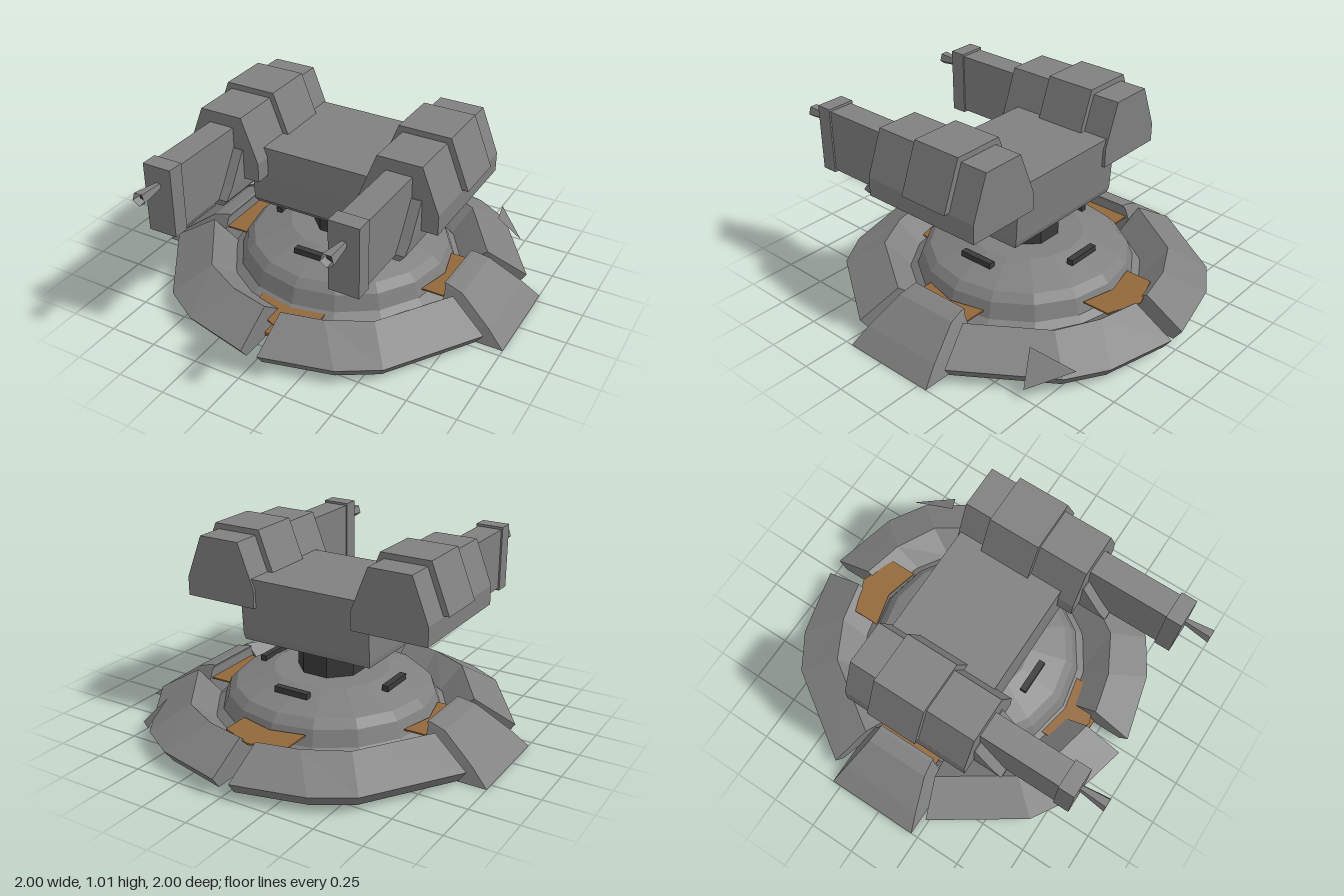
import * as THREE from 'three';

const mat = (name, color, side = THREE.FrontSide) => {
  const m = new THREE.MeshStandardMaterial({ color, side, flatShading: true });
  m.name = name;
  return m;
};

export function createModel() {
  const grey = mat('hull grey', 0x808080, THREE.DoubleSide);
  const dark = mat('dark metal', 0x3a3a3a);
  const orange = mat('orange panel', 0x92683a);
  const model = new THREE.Group();
  model.name = 'twinGunTurret';

  const add = (parent, name, geo, material, x = 0, y = 0, z = 0, ry = 0) => {
    const m = new THREE.Mesh(geo, material);
    m.name = name;
    m.position.set(x, y, z);
    m.rotation.y = ry;
    parent.add(m);
    return m;
  };
  const box = (x, y, z) => new THREE.BoxGeometry(x, y, z);
  const group = (parent, name, x = 0, y = 0, z = 0) => {
    const g = new THREE.Group();
    g.name = name;
    g.position.set(x, y, z);
    parent.add(g);
    return g;
  };

  // Skins closed cross-sections and caps both ends
  const loft = (sections) => {
    const n = sections[0].length, last = sections.length - 1, out = [];
    const tri = (...pts) => pts.forEach((p) => out.push(...p));
    for (let i = 0; i < last; i++) {
      for (let j = 0; j < n; j++) {
        const k = (j + 1) % n, s = sections[i], t = sections[i + 1];
        tri(s[j], t[j], s[k]);
        tri(t[j], t[k], s[k]);
      }
    }
    for (let j = 1; j < n - 1; j++) {
      tri(sections[0][0], sections[0][j], sections[0][j + 1]);
      tri(sections[last][0], sections[last][j + 1], sections[last][j]);
    }
    const g = new THREE.BufferGeometry();
    g.setAttribute('position', new THREE.Float32BufferAttribute(out, 3));
    g.computeVertexNormals();
    return g;
  };
  // Horizontal rectangle used as a section at height y
  const rect = (y, x0, x1, z0, z1) => [[x0, y, z0], [x1, y, z0], [x1, y, z1], [x0, y, z1]];
  const extrude = (pts, depth) => {
    const g = new THREE.ExtrudeGeometry(
      new THREE.Shape(pts.map((p) => new THREE.Vector2(...p))), { depth, bevelEnabled: false });
    return g.translate(0, 0, -depth / 2);
  };

  // Base: dome, four ring segments, side feet
  const base = group(model, 'base', 0, 0, -0.045);
  const dome = [[0, 0.02], [0.66, 0.02], [0.64, 0.07], [0.57, 0.12], [0.54, 0.2], [0.5, 0.24], [0.3, 0.31], [0, 0.31]];
  add(base, 'dome', new THREE.LatheGeometry(dome.map((p) => new THREE.Vector2(...p)), 16), grey);

  // Each station: outer rim, ridge and inner foot as x, z pairs
  const stations = [
    [[0.045, 0.955], [0.045, 0.74], [0.045, 0.6]],
    [[0.41, 0.865], [0.26, 0.69], [0.25, 0.55]],
    [[0.605, 0.745], [0.47, 0.58], [0.41, 0.45]],
    [[0.91, 0.29], [0.71, 0.22], [0.58, 0.19]],
  ];
  const section = (s, sz) => {
    const [o, r, f] = s.map(([x, z]) => [x, z * sz]);
    return [[o[0] * 0.955, 0.02, o[1] * 0.955], [o[0], 0.08, o[1]], [r[0], 0.2, r[1]],
      [f[0], 0.09, f[1]], [f[0], 0.02, f[1]]];
  };
  const frontArc = loft(stations.map((s) => section(s, 1)));
  const backArc = loft([...stations].reverse().map((s) => section(s, -1)));
  const foot = loft([
    rect(0, 0.65, 1.0, -0.255, 0.255),
    rect(0.08, 0.65, 0.91, -0.225, 0.225),
    rect(0.2, 0.65, 0.74, -0.175, 0.175),
    rect(0.22, 0.64, 0.66, -0.165, 0.165),
  ]);
  for (const turn of [0, Math.PI]) {
    add(base, 'ringSegment', frontArc, grey, 0, 0, 0, turn);
    add(base, 'ringSegment', backArc, grey, 0, 0, 0, turn);
    add(base, 'sideFoot', foot, grey, 0, 0, 0, turn);
  }

  // Orange panels between dome and ring, and in the front notch
  const chevron = [[-0.18, 0.525], [0, 0.57], [0.18, 0.525], [0.18, 0.67], [0, 0.74], [-0.18, 0.67]];
  const panel = extrude(chevron, 0.008).rotateX(Math.PI / 2);
  add(base, 'orangePanel', panel, orange, 0, 0.105, 0);
  add(base, 'orangePanel', panel, orange, 0, 0.175, 0, Math.PI);
  for (const s of [1, -1]) add(base, 'orangePanel', panel, orange, 0, 0.15, 0, s * Math.PI / 2);
  add(base, 'notchStrip', box(0.088, 0.02, 0.2), orange, 0, 0.04, 0.65);

  // Dark slots around the dome
  for (let i = 0; i < 4; i++) {
    const a = i * Math.PI / 2;
    add(base, 'domeSlot', box(0.19, 0.03, 0.035), dark, Math.sin(a) * 0.367, 0.298, Math.cos(a) * 0.367, a);
  }

  // Thin torn fin on the rear ring
  const fin = new THREE.BufferGeometry();
  fin.setAttribute('position', new THREE.Float32BufferAttribute(
    [0.57, 0.13, -0.79, 0.75, 0.05, -0.63, 0.63, 0.19, -0.565], 3));
  fin.computeVertexNormals();
  add(base, 'rearFin', fin, grey);

  // Column and central body
  add(model, 'column', new THREE.CylinderGeometry(0.18, 0.18, 0.17, 8), dark, 0, 0.385, -0.04, Math.PI / 8);
  add(model, 'body', loft([
    rect(0.46, -0.365, 0.365, -0.29, 0.24),
    rect(0.49, -0.37, 0.37, -0.3, 0.265),
    rect(0.64, -0.37, 0.37, -0.31, 0.27),
    rect(0.8, -0.31, 0.31, -0.32, 0.27),
  ]), grey);

  // Gun pods
  const housing = extrude([[-0.205, 0.65], [0.205, 0.65], [0.205, 0.75], [0.115, 0.98], [-0.115, 0.98], [-0.205, 0.75]], 0.685);
  const band = extrude([[-0.235, 0.755], [0.235, 0.755], [0.135, 1.01], [-0.135, 1.01]], 0.275);
  const fairing = loft([
    rect(0.56, -0.09, 0.09, 0.17, 0.505),
    rect(0.59, -0.115, 0.115, 0.17, 0.505),
    rect(0.65, -0.12, 0.12, 0.17, 0.46),
    rect(0.81, -0.12, 0.12, 0.17, 0.36),
  ]);
  const nozzle = new THREE.CylinderGeometry(0.036, 0.018, 0.14, 5, 1, true).rotateX(Math.PI / 2);
  const bore = new THREE.CircleGeometry(0.026, 5);
  for (const side of [1, -1]) {
    const pod = group(model, side > 0 ? 'leftGunPod' : 'rightGunPod', 0.485 * side);
    add(pod, 'housing', housing, grey, 0, 0, 0.012);
    add(pod, 'housingBand', band, grey, 0, 0, -0.042);
    add(pod, 'fairing', fairing, grey);
    add(pod, 'barrel', box(0.135, 0.33, 0.5), grey, 0, 0.752, 0.56);
    add(pod, 'muzzleBlock', box(0.152, 0.355, 0.085), grey, 0, 0.7525, 0.818);
    add(pod, 'nozzle', nozzle, grey, 0, 0.832, 0.93);
    add(pod, 'nozzleBore', bore, dark, 0, 0.832, 0.965);
  }
  return model;
}
